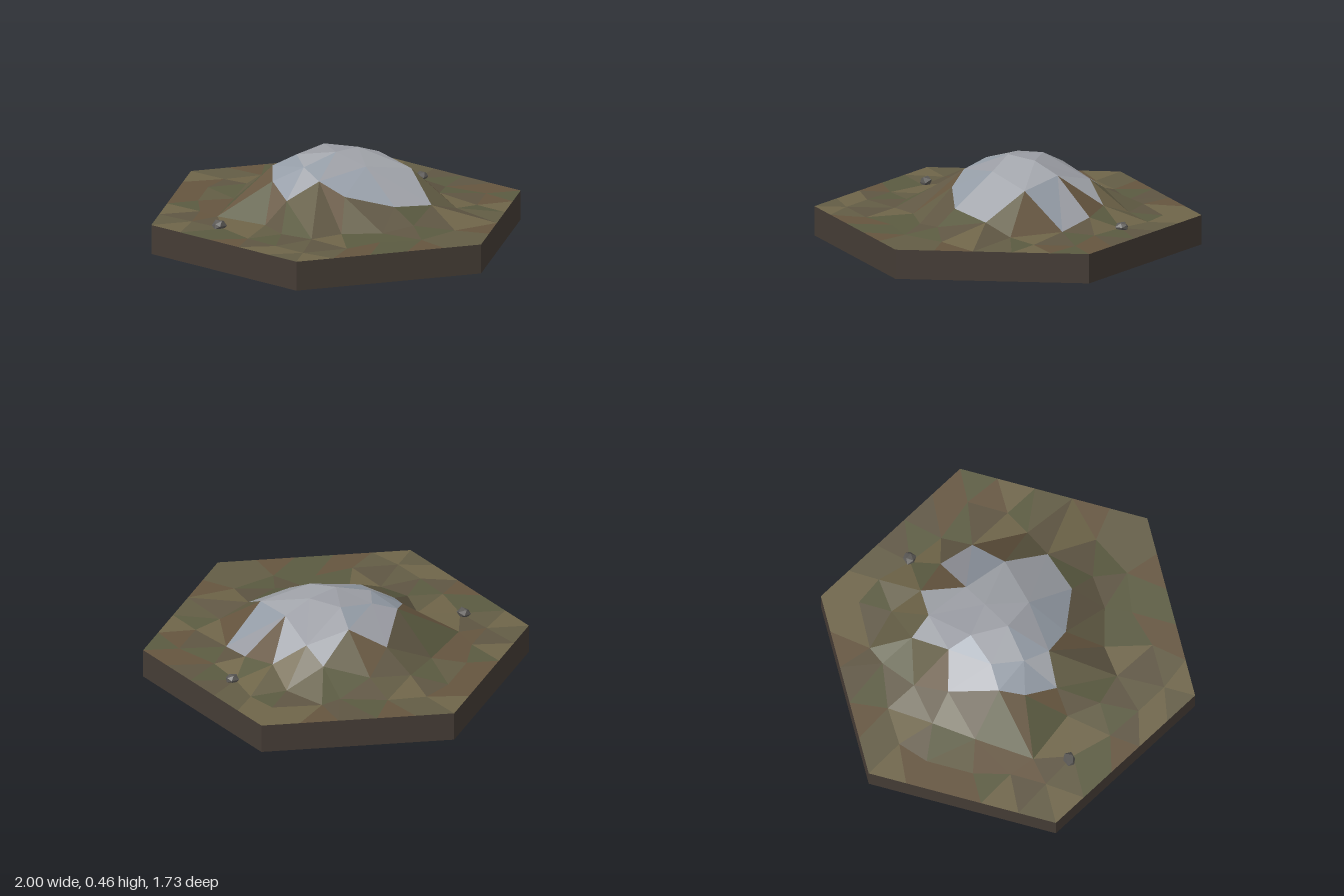
import * as THREE from 'three';

const GROUND = 0.155;

// Mound vertices as [x, z, height]
const CROWN = [[0, 0, .455], [0, -.17, .445], [-.17, -.1, .445], [.18, -.03, .405], [-.06, .18, .4], [-.2, .08, .42]];
const CAP_EDGE = [
  [.43, .03, .25], [.23, .19, .3], [.08, .22, .36], [-.01, .37, .27], [-.17, .3, .33], [-.26, .2, .375], [-.43, 0, .29],
  [-.29, -.14, .38], [-.35, -.35, .26], [-.22, -.36, .33], [-.13, -.51, .23], [.01, -.32, .39], [.05, -.55, .21], [.26, -.29, .355],
];
const FOOT = [
  [.73, -.1, GROUND], [.57, .04, .18], [.5, .2, .16], [.35, .35, .16], [.12, .555, .16], [-.05, .49, .16], [-.34, .535, .16],
  [-.48, .25, .165], [-.74, .16, GROUND], [-.58, .04, .18], [-.51, -.17, .205], [-.53, -.38, .16], [-.3, -.55, .165],
  [-.04, -.68, GROUND], [.25, -.52, .17], [.5, -.37, .17], [.48, -.2, .22],
];

function seeded(seed) {
  return () => (seed = (seed * 16807) % 2147483647) / 2147483647;
}

function inside([x, z], outline) {
  let hit = false;
  outline.forEach(([ax, az], i) => {
    const [bx, bz] = outline[(i + 1) % outline.length];
    if ((az > z) !== (bz > z) && x < ax + (bx - ax) * (z - az) / (bz - az)) hit = !hit;
  });
  return hit;
}

// Incremental Delaunay triangulation in the xz plane
function triangulate(points) {
  const n = points.length;
  const all = [...points, [-90, -70], [95, -60], [3, 110]];
  const make = (a, b, c) => {
    const [ax, az] = all[a];
    const bx = all[b][0] - ax, bz = all[b][1] - az, cx = all[c][0] - ax, cz = all[c][1] - az;
    const d = 2 * (bx * cz - bz * cx), b2 = bx * bx + bz * bz, c2 = cx * cx + cz * cz;
    const ux = (cz * b2 - bz * c2) / d, uz = (bx * c2 - cx * b2) / d;
    return { v: d > 0 ? [a, c, b] : [a, b, c], x: ax + ux, z: az + uz, r: ux * ux + uz * uz };
  };
  let tris = [make(n, n + 1, n + 2)];
  for (let i = 0; i < n; i++) {
    const [x, z] = all[i];
    const edges = new Map();
    tris = tris.filter((t) => {
      if ((x - t.x) ** 2 + (z - t.z) ** 2 >= t.r) return true;
      t.v.forEach((a, k) => {
        const b = t.v[(k + 1) % 3];
        if (!edges.delete(b + '_' + a)) edges.set(a + '_' + b, [a, b]);
      });
      return false;
    });
    for (const [a, b] of edges.values()) tris.push(make(a, b, i));
  }
  return tris.map((t) => t.v).filter((v) => v.every((i) => i < n));
}

// Triangular grid filling the hexagon around the mound
function groundPoints(rand) {
  const points = [], N = 5;
  for (let q = -N; q <= N; q++) {
    for (let r = Math.max(-N, -q - N); r <= Math.min(N, -q + N); r++) {
      const rim = Math.max(Math.abs(q), Math.abs(r), Math.abs(q + r)) === N;
      const j = rim ? 0 : .07;
      // the tiny bow on the rim keeps its points from being collinear
      const x = (q + r / 2) / N + (rand() - .5) * j;
      const z = r * Math.sqrt(3) / 2 / N + (rand() - .5) * j;
      const clear = FOOT.every((p) => Math.hypot(p[0] - x, p[1] - z) > .09);
      if (rim || (clear && !inside([x, z], FOOT))) points.push([x, z, GROUND]);
    }
  }
  return points;
}

function flat(color) {
  return new THREE.MeshStandardMaterial({ color, flatShading: true, side: THREE.DoubleSide });
}

function addMesh(parent, name, geometry, color) {
  const mesh = new THREE.Mesh(geometry, flat(color));
  mesh.name = name;
  parent.add(mesh);
  return mesh;
}

// Hill and surrounding turf, sorted into one mesh per shade
function buildTerrain() {
  const terrain = new THREE.Group();
  terrain.name = 'terrain';
  const rand = seeded(4711);
  const points = [...CROWN, ...CAP_EDGE, ...FOOT, ...groundPoints(rand)];
  const shades = {
    capLight: 0xa3a6ac, capBlue: 0x949ca6, capGrey: 0x9b9da4,
    turfOlive: 0x5b5b41, turfMoss: 0x635d45, turfBrown: 0x65553f, turfDry: 0x6f6549, turfEarth: 0x5f5643,
  };
  const names = Object.keys(shades);
  const faces = Object.fromEntries(names.map((name) => [name, []]));
  for (const tri of triangulate(points)) {
    const [a, b, c] = tri.map((i) => points[i]);
    const area = Math.abs((b[0] - a[0]) * (c[1] - a[1]) - (b[1] - a[1]) * (c[0] - a[0]));
    if (area < 1e-6) continue;
    const centre = [(a[0] + b[0] + c[0]) / 3, (a[1] + b[1] + c[1]) / 3];
    const pick = inside(centre, CAP_EDGE) ? Math.floor(rand() * 3) : 3 + Math.floor(rand() * 5);
    for (const [x, z, y] of [a, b, c]) faces[names[pick]].push(x, y, z);
  }
  for (const name of names) {
    const geometry = new THREE.BufferGeometry();
    geometry.setAttribute('position', new THREE.Float32BufferAttribute(faces[name], 3));
    geometry.computeVertexNormals();
    addMesh(terrain, name, geometry, shades[name]);
  }
  return terrain;
}

// Small faceted stone with its corners pushed in and out
function rockGeometry(seed) {
  const geometry = new THREE.IcosahedronGeometry(.038, 0);
  const pos = geometry.attributes.position;
  const v = new THREE.Vector3();
  for (let i = 0; i < pos.count; i++) {
    v.fromBufferAttribute(pos, i);
    const k = 1 + .2 * Math.sin(seed + v.x * 170 + v.y * 110 + v.z * 230);
    pos.setXYZ(i, v.x * k * .9, v.y * k * .7, v.z * k);
  }
  geometry.computeVertexNormals();
  return geometry;
}

export function createModel() {
  const model = new THREE.Group();
  model.name = 'hillTile';
  model.add(buildTerrain());

  // Hexagonal side wall, open underneath
  const wall = new THREE.CylinderGeometry(1, 1, GROUND, 6, 1, true, Math.PI / 2);
  addMesh(model, 'sideWall', wall.translate(0, GROUND / 2, 0), 0x453c35);

  // Loose stones in front of and behind the hill
  [[-.21, .67], [-.03, -.7]].forEach(([x, z], i) => {
    const rock = addMesh(model, i ? 'backRock' : 'frontRock', rockGeometry(i * 2 + 1), 0x5a5855);
    rock.position.set(x, GROUND + .012, z);
  });
  return model;
}
